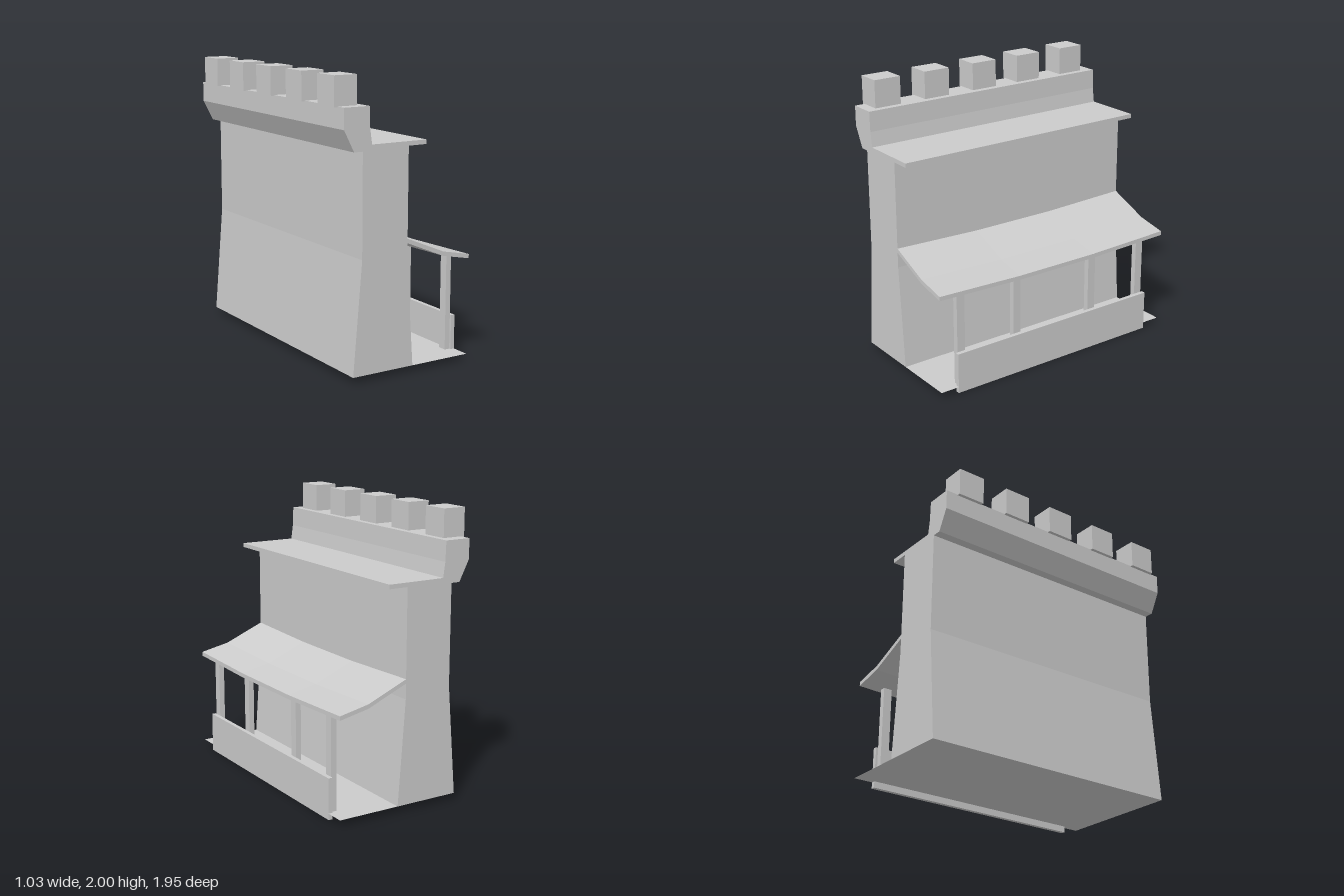
import * as THREE from 'three';

const HALF = 0.973; // half length of the wall along z

export function createModel() {
  const group = new THREE.Group();
  const material = new THREE.MeshStandardMaterial({ color: 0xcccccc, flatShading: true });

  const add = (name, geometry, mat = material) => {
    const mesh = new THREE.Mesh(geometry, mat);
    mesh.name = name;
    group.add(mesh);
    return mesh;
  };

  // Box given by its lower and upper limits
  const box = (name, x0, x1, y0, y1, z0, z1) =>
    add(name, new THREE.BoxGeometry(x1 - x0, y1 - y0, z1 - z0))
      .position.set((x0 + x1) / 2, (y0 + y1) / 2, (z0 + z1) / 2);

  // Profile in x, y swept along the whole length
  const sweep = (points, steps = 1) => {
    const shape = new THREE.Shape(points.map(([x, y]) => new THREE.Vector2(x, y)));
    return new THREE.ExtrudeGeometry(shape, { depth: 2 * HALF, steps, bevelEnabled: false })
      .translate(0, 0, -HALF);
  };

  // Wall with flared foot, walkway ledge and corbelled parapet
  add('wall', sweep([
    [-0.42, 0.045], [0.053, 0.045], [0, 0.78], [0, 1.53], [0.14, 1.53], [0.14, 1.56],
    [-0.285, 1.56], [-0.3, 1.665], [-0.305, 1.805], [-0.495, 1.805], [-0.495, 1.665],
    [-0.42, 1.52], [-0.355, 1.52], [-0.355, 0.82],
  ]));

  // Battlements
  for (const z of [0.798, 0.402, 0, -0.39, -0.785]) {
    box('battlement', -0.52, -0.35, 1.8, 2, z - 0.1, z + 0.1);
  }

  // Awning, sagging in its middle third
  const awning = sweep([
    [0, 0.888], [0.295, 0.765], [0.512, 0.72], [0.512, 0.75], [0.295, 0.795], [0, 0.918],
  ], 3);
  const pos = awning.attributes.position;
  for (let i = 0; i < pos.count; i++) {
    if (Math.abs(pos.getZ(i)) < 0.5) pos.setY(i, pos.getY(i) - 0.02);
  }
  awning.computeVertexNormals();
  add('awning', awning);

  // Posts carrying the awning
  for (const z of [0.79, 0.325, -0.338, -0.788]) {
    box('post', 0.44, 0.48, 0.045, 0.722, z - 0.031, z + 0.031);
  }

  // Front barrier
  box('barrier', 0.48, 0.51, 0, 0.29, -0.835, 0.835);

  // Thin floor under the awning
  const thin = material.clone();
  thin.side = THREE.DoubleSide;
  const floor = add('floor', new THREE.PlaneGeometry(0.46, 2 * HALF).rotateX(-Math.PI / 2), thin);
  floor.position.set(0.28, 0.045, 0);

  return group;
}
